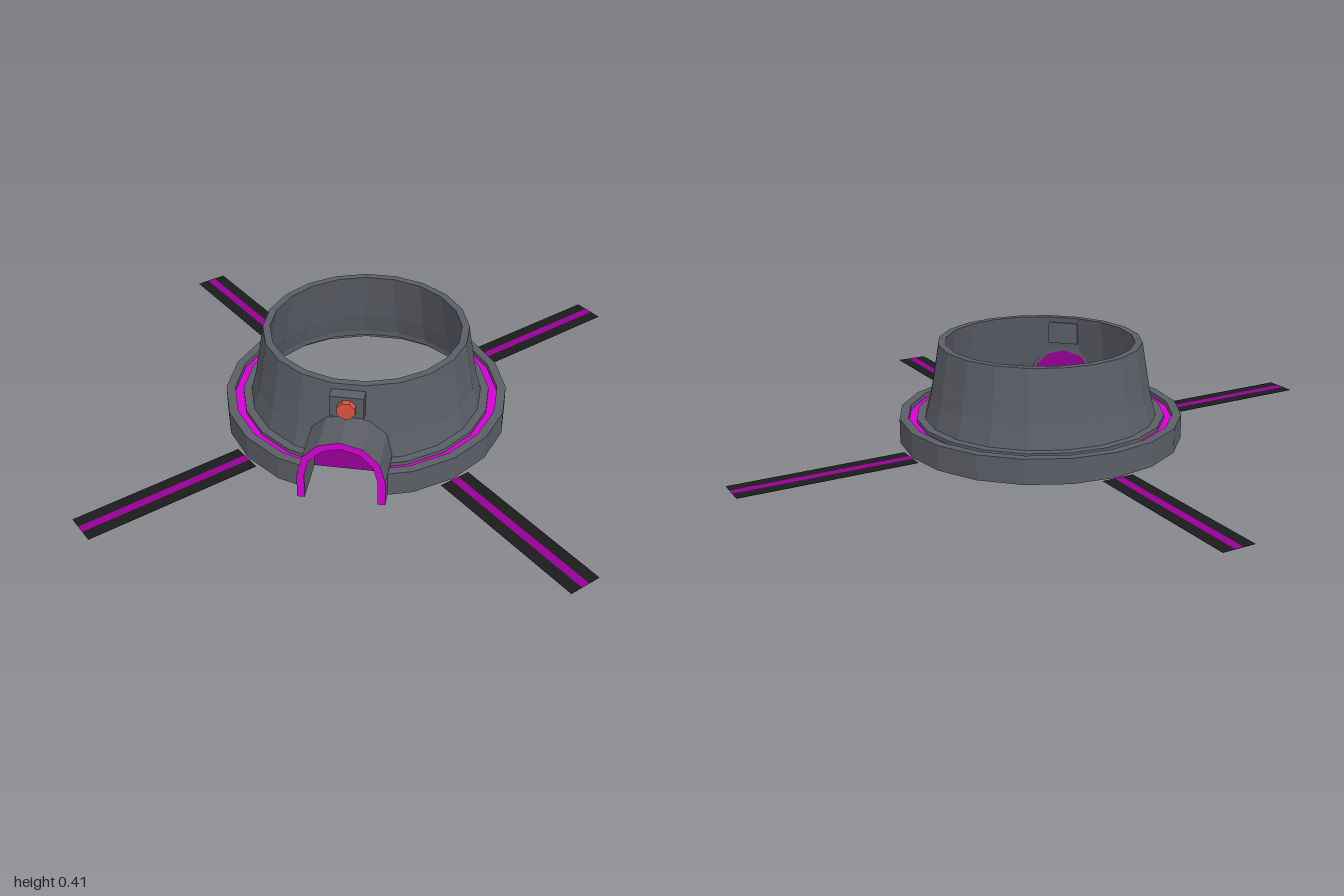
import * as THREE from 'three';

const SIDES = 20, STEP = (Math.PI * 2) / SIDES;
const ARCH_Y = 0.11; // height where the doorway's straight jambs end

function material(name, color) {
  const m = new THREE.MeshStandardMaterial({ color });
  m.name = name;
  return m;
}

function addMesh(parent, name, geometry, mat, x = 0, y = 0, z = 0) {
  const mesh = new THREE.Mesh(geometry, mat);
  mesh.name = name;
  mesh.position.set(x, y, z);
  parent.add(mesh);
  return mesh;
}

// Faceted ring from a closed profile of [radius, y, halfWidthOfFrontGap]
function facetedRing(profile) {
  const rows = [...profile, profile[0]];
  const pos = [], index = [], cols = SIDES + 2;
  for (const [r, y, gap] of rows) {
    const cut = Math.asin(gap / r);
    for (let j = 0; j < cols; j++) {
      const corner = j === 0 ? 0 : j === cols - 1 ? Math.PI * 2 : (j - 0.5) * STEP;
      const a = Math.min(Math.max(corner, cut), Math.PI * 2 - cut);
      const off = a - Math.round(a / STEP) * STEP;
      const rad = (r * Math.cos(STEP / 2)) / Math.cos(off); // stay on the flat facet
      pos.push(rad * Math.sin(a), y, rad * Math.cos(a));
    }
  }
  for (let i = 0; i < rows.length - 1; i++) {
    for (let j = 0; j < cols - 1; j++) {
      const a = i * cols + j, b = a + 1, c = a + cols, d = c + 1;
      index.push(a, b, d, a, d, c);
    }
  }
  const g = new THREE.BufferGeometry();
  g.setAttribute('position', new THREE.Float32BufferAttribute(pos, 3));
  g.setIndex(index);
  const flat = g.toNonIndexed();
  flat.computeVertexNormals();
  return flat;
}

// Doorway outline: straight jambs and a six-sided half round
function archPoints(r) {
  const pts = [new THREE.Vector2(r, 0)];
  for (let i = 0; i <= 6; i++) {
    const a = (i * Math.PI) / 6;
    pts.push(new THREE.Vector2(r * Math.cos(a), ARCH_Y + r * Math.sin(a)));
  }
  pts.push(new THREE.Vector2(-r, 0));
  return pts;
}

function extrude(points, depth) {
  return new THREE.ExtrudeGeometry(new THREE.Shape(points), { depth, bevelEnabled: false });
}

export function createModel() {
  const model = new THREE.Group();
  model.name = 'ringBase';
  const grey = material('steelGrey', 0x5b5e66);
  const black = material('black', 0x1b1b1b);
  const magenta = material('brightMagenta', 0xd400d4);
  const purple = material('darkMagenta', 0x980098);
  const red = material('lampRed', 0xd8543f);

  // Flared wall with a small foot step, open at the front around the doorway
  const gap = 0.16;
  const outer = [
    [0.492, 0.1, gap],
    [0.489, ARCH_Y, gap],
    [0.468, ARCH_Y + gap * 0.5, gap * 0.866],
    [0.458, ARCH_Y + gap * 0.866, gap * 0.5],
    [0.454, ARCH_Y + gap, 0],
    [0.43, 0.415, 0],
  ];
  const inner = outer.map(([r, y, w]) => [r - 0.031, y, w]).reverse();
  const foot = [[0.461, 0.075, gap], [0.527, 0.075, gap], [0.527, 0.1, gap]];
  addMesh(model, 'flaredWall', facetedRing([...foot, ...outer, ...inner]), grey);

  // Low outer band and the glowing ring set in the groove behind it
  addMesh(model, 'outerBand', facetedRing([
    [0.6, 0, gap], [0.6, 0.105, gap], [0.562, 0.105, gap], [0.562, 0, gap],
  ]), grey);
  addMesh(model, 'glowRing', facetedRing([
    [0.564, 0.079, gap], [0.564, 0.084, gap], [0.525, 0.084, gap], [0.525, 0.079, gap],
  ]), magenta);

  // Entrance tunnel, its bright rim and the door at its back
  const entrance = new THREE.Group();
  entrance.name = 'entrance';
  model.add(entrance);
  const frame = [...archPoints(0.175), ...archPoints(0.145).reverse()];
  addMesh(entrance, 'tunnel', extrude(frame, 0.209), grey, 0, 0, 0.42);
  addMesh(entrance, 'tunnelRim', new THREE.ShapeGeometry(new THREE.Shape(frame)), magenta, 0, 0, 0.63);
  addMesh(entrance, 'door', extrude(archPoints(0.147), 0.006), purple, 0, 0, 0.424);

  // Lamp above the entrance
  addMesh(model, 'lampBox', new THREE.BoxGeometry(0.135, 0.095, 0.09), grey, 0, 0.343, 0.435);
  const lens = new THREE.CylinderGeometry(0.039, 0.039, 0.027, 8).toNonIndexed();
  lens.computeVertexNormals();
  lens.rotateY(Math.PI / 8).rotateX(Math.PI / 2);
  addMesh(model, 'lampLens', lens, red, 0, 0.341, 0.491);

  // Four flat diagonal strips on the ground
  const line = new THREE.PlaneGeometry(0.036, 0.74).rotateX(-Math.PI / 2);
  for (let i = 0; i < 4; i++) {
    const strip = new THREE.Group();
    strip.name = 'groundStrip' + (i + 1);
    strip.rotation.y = Math.PI / 4 + (i * Math.PI) / 2;
    addMesh(strip, 'stripBase', new THREE.BoxGeometry(0.14, 0.001, 0.74), black, 0, 0.0005, 0.974);
    addMesh(strip, 'stripLine', line, purple, 0, 0.002, 0.974);
    model.add(strip);
  }
  return model;
}
